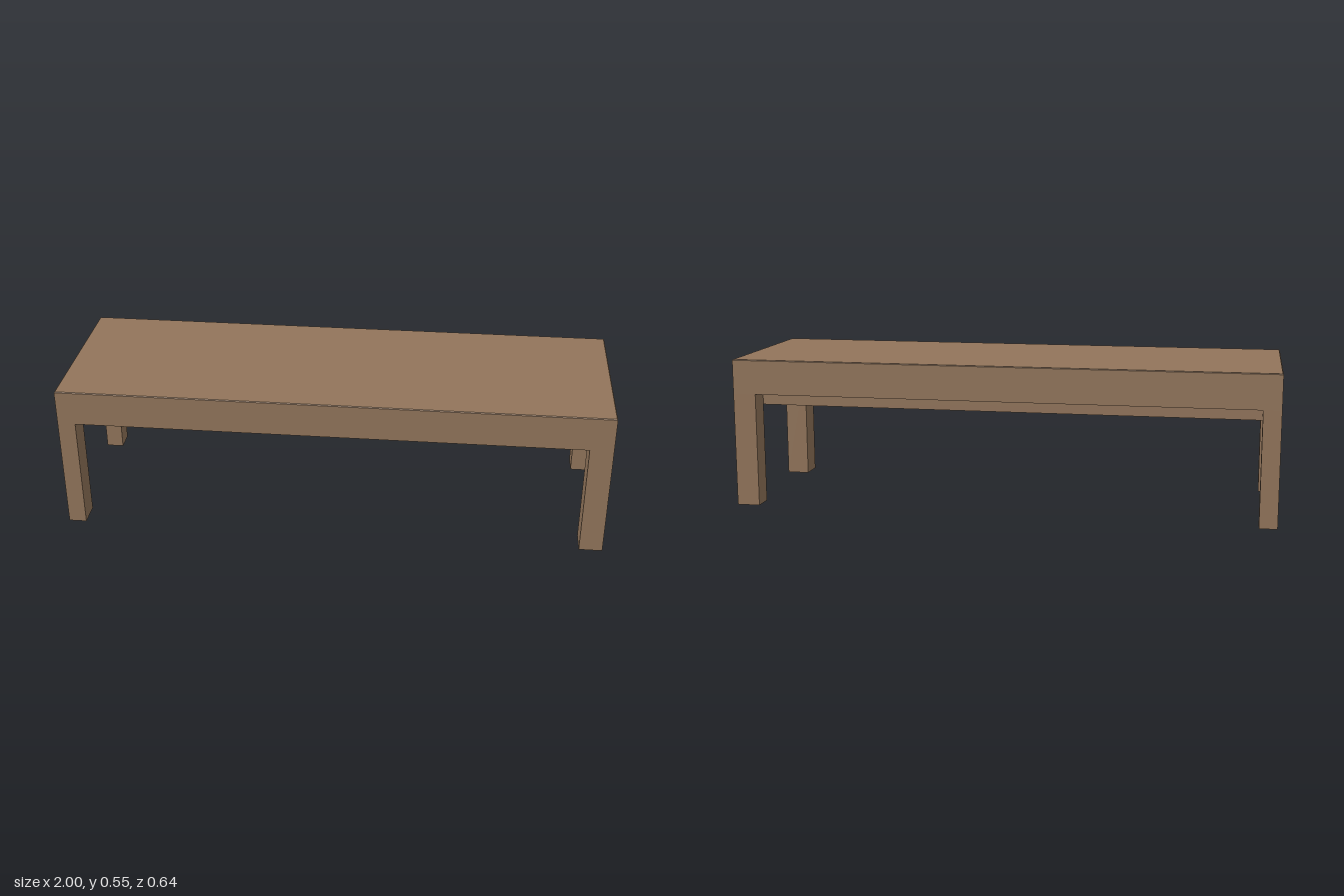
import * as THREE from 'three';

export function createModel() {
  const group = new THREE.Group();
  group.name = 'bench';
  const wood = new THREE.MeshStandardMaterial({ color: 0x92755b });
  wood.name = 'brown wood';

  // Box given by its lower and upper corners
  function addBox(name, min, max) {
    const size = max.map((v, i) => v - min[i]);
    const mesh = new THREE.Mesh(new THREE.BoxGeometry(...size), wood);
    mesh.position.set(...max.map((v, i) => (v + min[i]) / 2));
    mesh.name = name;
    group.add(mesh);
    return mesh;
  }

  const X = 1, Z = 0.322;                       // outer half sizes
  const inner = { left: 0.915, right: -0.935, front: 0.23, back: -0.243 };
  const apronY = 0.423, panelY = 0.373, edgeY = 0.549, topY = 0.552;

  // Seat slab with its apron edge
  addBox('seatSlab', [-X, apronY, -Z], [X, edgeY, Z]);

  // Thin top face with a slight chamfer
  const cap = addBox('seatTop', [-X, edgeY, -Z], [X, topY, Z]);
  const pos = cap.geometry.attributes.position;
  for (let i = 0; i < pos.count; i++) {
    if (pos.getY(i) < 0) continue;
    pos.setX(i, pos.getX(i) - Math.sign(pos.getX(i)) * 0.003);
    pos.setZ(i, pos.getZ(i) - Math.sign(pos.getZ(i)) * 0.003);
  }
  cap.geometry.computeVertexNormals();

  // Lower panel fitted between the legs
  addBox('lowerPanel', [inner.right, panelY, inner.back], [inner.left, apronY, inner.front]);

  // Four legs, each filling a corner outside the panel
  const xs = { Left: [inner.left, X], Right: [-X, inner.right] };
  const zs = { front: [inner.front, Z], back: [-Z, inner.back] };
  for (const [side, x] of Object.entries(xs)) {
    for (const [end, z] of Object.entries(zs)) {
      addBox(`${end}${side}Leg`, [x[0], 0, z[0]], [x[1], apronY, z[1]]);
    }
  }
  return group;
}
